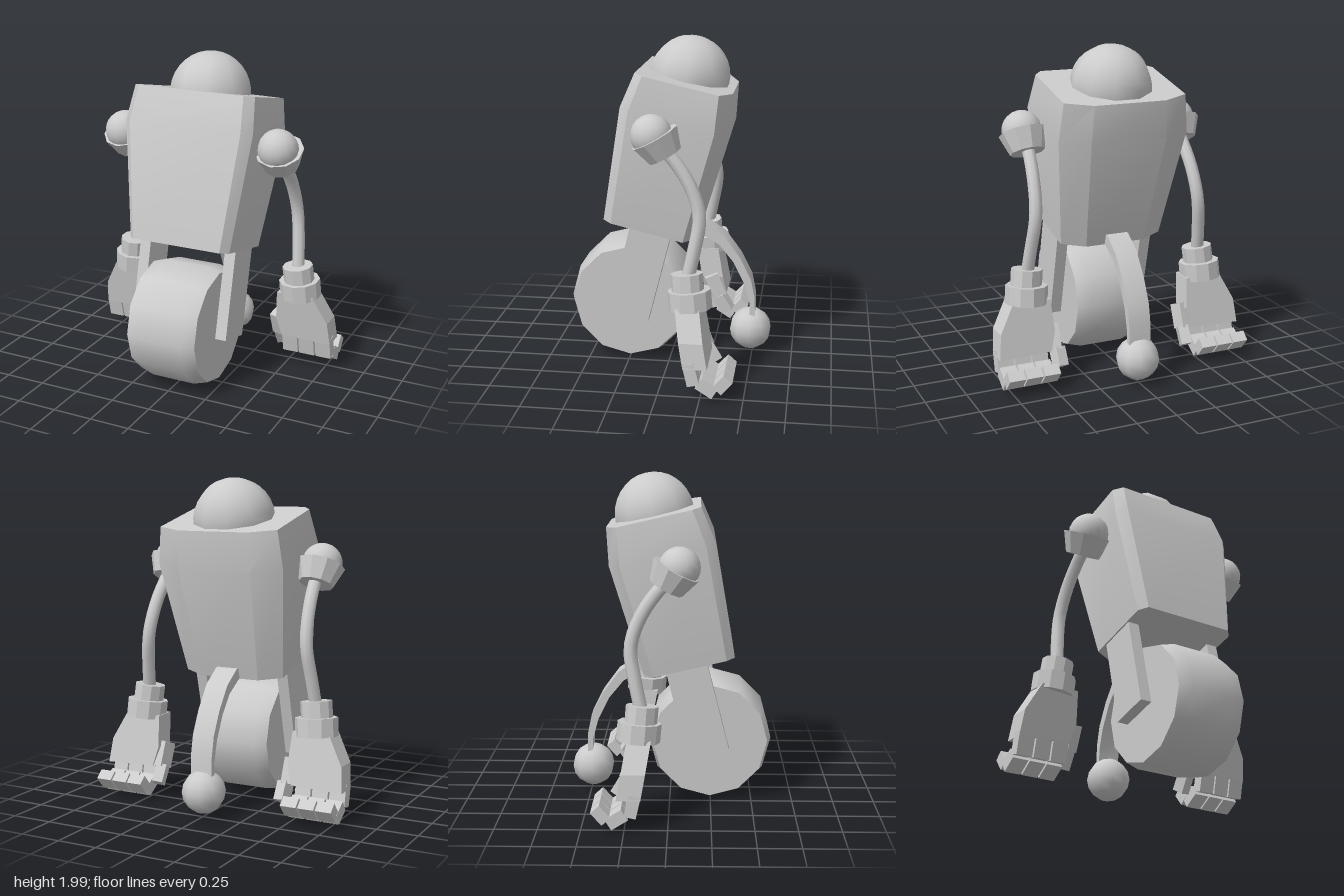
import * as THREE from 'three';
import { toCreasedNormals } from 'three/addons/utils/BufferGeometryUtils.js';

const smooth = new THREE.MeshStandardMaterial({ color: 0xcccccc });
const flat = new THREE.MeshStandardMaterial({ color: 0xcccccc, flatShading: true });
const V = (x, y, z) => new THREE.Vector3(x, y, z);

function add(parent, name, geometry, material = flat, position = [0, 0, 0]) {
  const mesh = new THREE.Mesh(geometry, material);
  mesh.name = name;
  mesh.position.set(...position);
  parent.add(mesh);
  return mesh;
}

// Tapered cylinder running from point a to point b
function rod(parent, name, a, b, ra, rb, sides) {
  const dir = b.clone().sub(a);
  const geometry = toCreasedNormals(new THREE.CylinderGeometry(rb, ra, dir.length(), sides), 0.5);
  const mesh = add(parent, name, geometry, smooth, a.clone().add(b).multiplyScalar(0.5).toArray());
  mesh.quaternion.setFromUnitVectors(V(0, 1, 0), dir.normalize());
  return mesh;
}

// Box running from (y, z) point p to q at a given x
function bar(parent, name, x, p, q, width, thickness) {
  const dy = q[0] - p[0], dz = q[1] - p[1];
  const mesh = add(parent, name, new THREE.BoxGeometry(width, thickness, Math.hypot(dy, dz)), flat,
    [x, (p[0] + q[0]) / 2, (p[1] + q[1]) / 2]);
  mesh.rotation.x = Math.atan2(-dy, dz);
  return mesh;
}

// Body shell lofted through three tilted, chamfered sections
function bodyGeometry() {
  const ring = [[-0.87, 0], [0.87, 0], [1, 0.09], [1, 0.88], [0.58, 1], [-0.58, 1], [-1, 0.88], [-1, 0.09]];
  const levels = [ // half width, front y, front z, back y, back z
    [0.33, 0.92, 0.39, 0.79, -0.16],
    [0.415, 1.62, 0.27, 1.46, -0.36],
    [0.39, 1.82, 0.185, 1.69, -0.375],
  ];
  const pos = [], index = [], n = ring.length, top = 2 * n;
  for (const [w, fy, fz, by, bz] of levels)
    for (const [x, t] of ring) pos.push(x * w, fy + (by - fy) * t, fz + (bz - fz) * t);
  for (let k = 0; k < 2; k++)
    for (let i = 0; i < n; i++) {
      const a = k * n + i, b = k * n + (i + 1) % n;
      index.push(a, b, b + n, a, b + n, a + n);
    }
  for (let i = 1; i < n - 1; i++) index.push(top, top + i, top + i + 1, 0, i + 1, i);
  const g = new THREE.BufferGeometry();
  g.setAttribute('position', new THREE.Float32BufferAttribute(pos, 3));
  g.setIndex(index);
  return toCreasedNormals(g, 0.4);
}

function createArm(s) {
  const arm = new THREE.Group();
  arm.name = s > 0 ? 'leftArm' : 'rightArm';
  const P = (x, y, z) => V(s * x, y, z);

  // Shoulder ball in its cup
  add(arm, 'shoulderBall', new THREE.SphereGeometry(0.122, 16, 12), smooth, [s * 0.51, 1.492, 0.062]);
  rod(arm, 'shoulderCup', P(0.505, 1.375, -0.015), P(0.51, 1.485, 0.045), 0.105, 0.147, 10);

  // Bent arm
  const path = new THREE.CatmullRomCurve3([
    P(0.505, 1.4, -0.02), P(0.51, 1.34, -0.075), P(0.52, 1.23, -0.15), P(0.53, 1.1, -0.205),
    P(0.54, 1, -0.218), P(0.56, 0.83, -0.19), P(0.575, 0.66, -0.155)]);
  add(arm, 'armTube', new THREE.TubeGeometry(path, 14, 0.04, 8), smooth);

  // Stepped wrist
  rod(arm, 'wristUpper', P(0.585, 0.58, -0.16), P(0.572, 0.7, -0.15), 0.095, 0.095, 10);
  rod(arm, 'wristLower', P(0.59, 0.495, -0.175), P(0.582, 0.605, -0.165), 0.128, 0.128, 10);

  // Palm, leaning back toward the fingers
  const outline = [[0.695, 0.52], [0.785, 0.35], [0.8, 0.2], [0.475, 0.21], [0.445, 0.33], [0.46, 0.52]];
  const palm = new THREE.ExtrudeGeometry(
    new THREE.Shape(outline.map(([x, y]) => new THREE.Vector2(s * x, y))), { depth: 0.14, bevelEnabled: false });
  const p = palm.attributes.position;
  for (let i = 0; i < p.count; i++) p.setZ(i, p.getZ(i) - 0.24 + (p.getY(i) - 0.5) * 0.18);
  add(arm, 'palm', palm);

  // Three curled fingers, each of three joints
  const joints = [[[0.23, -0.185], [0.1, -0.215]], [[0.117, -0.245], [0.057, -0.34]], [[0.075, -0.35], [0.148, -0.415]]];
  [0.525, 0.635, 0.745].forEach((x) => {
    joints.forEach(([a, b], j) => bar(arm, 'fingerJoint', s * (x + 0.004 - j * 0.002), a, b, 0.1, [0.07, 0.075, 0.068][j]));
  });

  // Thumb
  const base = bar(arm, 'thumbBase', s * 0.435, [0.345, -0.19], [0.2, -0.25], 0.07, 0.09);
  base.rotation.z = s * 0.25;
  const tip = bar(arm, 'thumbTip', s * 0.425, [0.21, -0.25], [0.11, -0.31], 0.065, 0.08);
  tip.rotation.z = -s * 0.25;
  return arm;
}

export function createModel() {
  const model = new THREE.Group();
  model.name = 'robot';

  add(model, 'body', bodyGeometry(), smooth);
  const head = add(model, 'headDome',
    new THREE.SphereGeometry(0.25, 10, 8, 0, Math.PI * 2, 0, Math.PI / 2), smooth, [0, 1.75, -0.095]);
  head.rotation.x = -0.23;

  // Wide chamfered wheel
  const profile = [[0, -0.225], [0.35, -0.225], [0.375, -0.14], [0.375, 0.14], [0.35, 0.225], [0, 0.225]];
  const wheelGeometry = new THREE.LatheGeometry(profile.map(([r, y]) => new THREE.Vector2(r, y)), 12);
  const wheel = add(model, 'wheel', toCreasedNormals(wheelGeometry, 0.6), smooth, [0, 0.383, 0.245]);
  wheel.rotation.z = Math.PI / 2;

  // Fork legs and arms on both sides
  for (const s of [1, -1]) {
    bar(model, 'forkLeg', s * 0.285, [0.95, 0.08], [0.32, 0.24], 0.07, 0.25);
    model.add(createArm(s));
  }

  // Curved tail strut, cut from a side profile of (z, y) points
  const outer = [[0, 0.87], [-0.2, 0.855], [-0.32, 0.775], [-0.42, 0.64], [-0.49, 0.5], [-0.515, 0.38], [-0.52, 0.2]];
  const inner = [[-0.485, 0.2], [-0.485, 0.34], [-0.45, 0.47], [-0.38, 0.61], [-0.29, 0.72], [-0.17, 0.79], [0, 0.8]];
  const tail = new THREE.ExtrudeGeometry(
    new THREE.Shape([...outer, ...inner].map(([z, y]) => new THREE.Vector2(-z, y))), { depth: 0.14, bevelEnabled: false });
  tail.translate(0, 0, -0.07).rotateY(Math.PI / 2);
  add(model, 'tailStrut', toCreasedNormals(tail, 0.5), smooth);
  add(model, 'tailBall', new THREE.SphereGeometry(0.132, 10, 8), smooth, [0, 0.16, -0.487]);

  return model;
}
